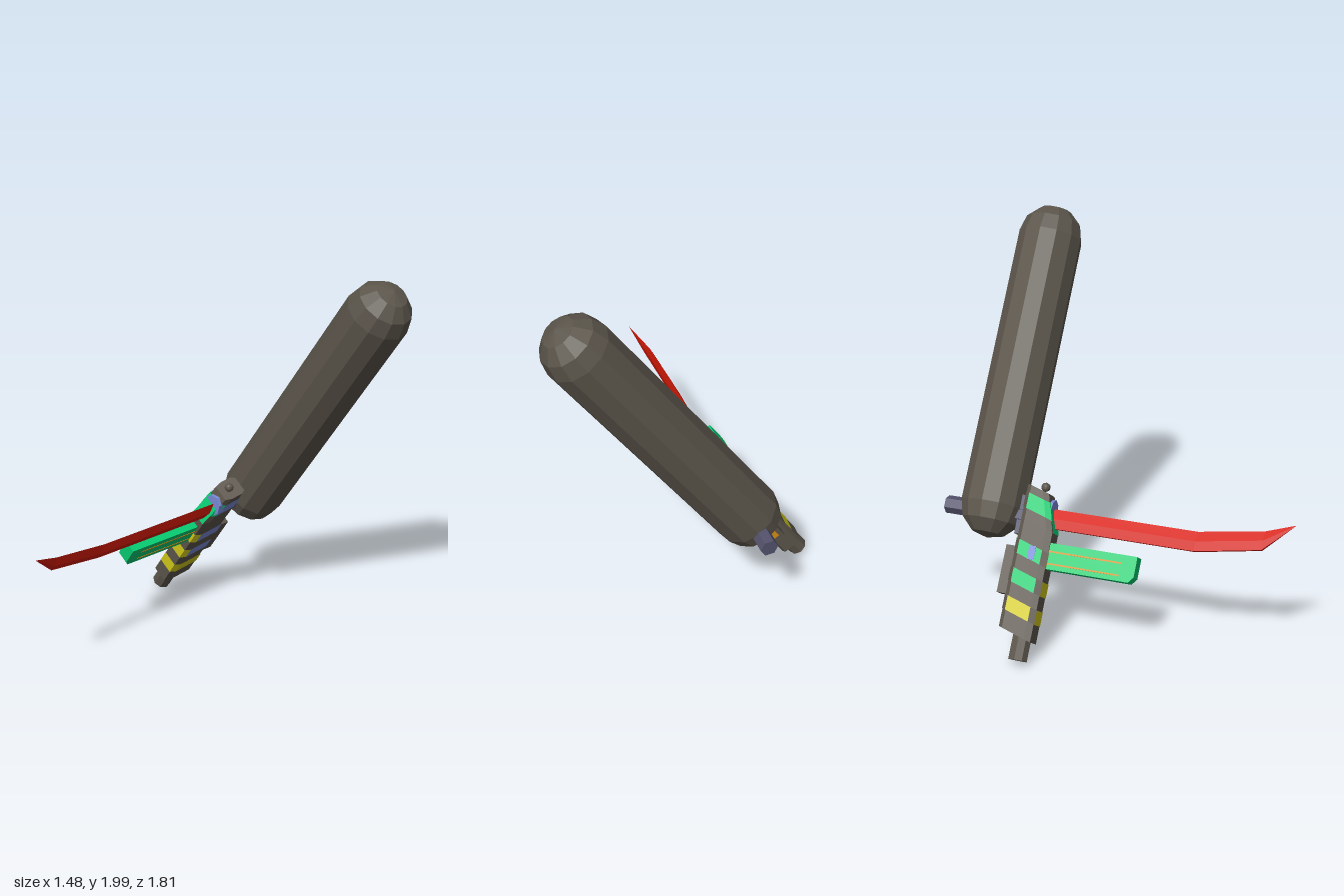
import * as THREE from 'three';

const makeMaterial = (name, color) => {
  const m = new THREE.MeshStandardMaterial({ color });
  m.name = name;
  return m;
};

// Flat-faced skin through closed rings of points, listed counter-clockwise along the travel direction
function loft(rings, capped = true) {
  const pos = [];
  const tri = (...pts) => pts.forEach((p) => pos.push(p[0], p[1], p[2]));
  const n = rings[0].length;
  for (let r = 0; r + 1 < rings.length; r++) {
    const a = rings[r], b = rings[r + 1];
    for (let i = 0; i < n; i++) {
      const j = (i + 1) % n;
      tri(a[i], a[j], b[j]);
      tri(a[i], b[j], b[i]);
    }
  }
  if (capped) {
    const s = rings[0], e = rings[rings.length - 1];
    for (let i = 1; i + 1 < n; i++) {
      tri(s[0], s[i + 1], s[i]);
      tri(e[0], e[i], e[i + 1]);
    }
  }
  const g = new THREE.BufferGeometry();
  g.setAttribute('position', new THREE.Float32BufferAttribute(pos, 3));
  g.computeVertexNormals();
  return g;
}

const faceted = (g) => {
  const f = g.index ? g.toNonIndexed() : g;
  f.computeVertexNormals();
  return f;
};

// Slanted eight-sided slice of the handle at height l, grown outward by g;
// the front leans back towards the head
function handleRing(l, g = 0) {
  const zf = -0.295 - Math.max(0, l + 0.1) * 0.34 + g;
  const w = 0.057 + g, c = 0.045, zb = -0.474 - g;
  const outline = [
    [-c, zf], [c, zf], [w, zf - 0.032], [w, zb + 0.022],
    [c, zb], [-c, zb], [-w, zb + 0.022], [-w, zf - 0.032],
  ];
  return outline.map(([x, z]) => [x, l + 0.3 * (-0.295 - z), z]);
}

export function createModel() {
  const dark = makeMaterial('dark grey', 0x5b554b);
  const green = makeMaterial('green', 0x06cc72);
  const red = makeMaterial('red', 0xd41a06);
  const yellow = makeMaterial('yellow', 0xd0c81a);
  const blue = makeMaterial('blue', 0x7b8bd6);
  const indigo = makeMaterial('dark indigo', 0x53526c);
  const gold = makeMaterial('gold', 0xd89018);

  // Everything leans together; local y runs along the tank and handle
  const model = new THREE.Group();
  model.name = 'model';
  const tilted = new THREE.Group();
  tilted.name = 'tiltedAssembly';
  tilted.position.set(-0.27, 0.65, 0);
  tilted.rotation.z = -0.616;
  model.add(tilted);

  const add = (name, geometry, material, x = 0, y = 0, z = 0) => {
    const m = new THREE.Mesh(geometry, material);
    m.name = name;
    m.position.set(x, y, z);
    tilted.add(m);
    return m;
  };
  const box = (name, w, h, d, material, x, y, z) =>
    add(name, faceted(new THREE.BoxGeometry(w, h, d)), material, x, y, z);

  // Long rounded tank
  add('tank', faceted(new THREE.CapsuleGeometry(0.168, 1.45, 3, 12)), dark, 0.002, 0.7225, -0.655);

  // Axle through the foot of the tank, and the plate joining it to the handle
  const axle = faceted(new THREE.CylinderGeometry(0.046, 0.046, 0.435, 6));
  axle.rotateX(Math.PI / 2);
  add('axle', axle, indigo, 0, -0.032, -0.687);
  box('mountPlate', 0.07, 0.2, 0.03, indigo, 0, -0.03, -0.485);

  // Handle with its head, top knob and end pipe
  add('handle', loft([-0.655, -0.1, 0.075].map((l) => handleRing(l))), dark);
  add('topKnob', faceted(new THREE.IcosahedronGeometry(0.024, 1)), dark, 0, 0.13, -0.395);
  add('endPipe', faceted(new THREE.CylinderGeometry(0.05, 0.05, 0.17, 8)), dark, 0, -0.666, -0.357);

  // Slanted bands: start, end, then colours of the faces in the order
  // front, front left, left, back left, back, back right, right, front right
  const D = dark, Y = yellow, G = green, B = blue;
  const bands = [
    [-0.565, -0.493, [Y, Y, Y, Y, D, D, Y, D]],
    [-0.422, -0.35, [Y, Y, B, Y, D, D, G, D]],
    [-0.277, -0.205, [Y, Y, B, Y, D, D, G, D]],
    [-0.045, 0.035, [G, G, B, D, D, D, G, G]],
  ];
  bands.forEach(([from, to, mats], k) => {
    const g = loft([handleRing(from, 0.003), handleRing(to, 0.003)], false);
    mats.forEach((_, i) => g.addGroup(i * 6, 6, i));
    add('handleBand' + (k + 1), g, mats);
  });

  // Green facing below the blade, on the leaning front
  const [fl, fr] = handleRing(-0.1, 0.004);
  const [tl, tr] = handleRing(-0.04, 0.004);
  const facing = new THREE.BufferGeometry();
  facing.setAttribute('position', new THREE.Float32BufferAttribute(
    [fl, fr, tr, fl, tr, tl].flat(), 3));
  facing.computeVertexNormals();
  add('frontFacing', facing, green);

  // Small inset on the other side of the third band
  box('sidePatch', 0.004, 0.07, 0.036, blue, -0.06, -0.216, -0.377);

  // Rear block with an inlaid strip
  box('rearBlock', 0.075, 0.245, 0.065, dark, 0.01, -0.313, -0.498);
  box('rearStrip', 0.032, 0.19, 0.002, gold, 0.01, -0.313, -0.531);

  // Forward box with a cut lower corner, and grooves on both sides
  const side = new THREE.Shape([
    [-0.3, -0.283], [0.14, -0.283], [0.165, -0.253], [0.165, -0.15], [-0.3, -0.15],
  ].map(([z, y]) => new THREE.Vector2(-z, y)));
  const boxGeometry = new THREE.ExtrudeGeometry(side, { depth: 0.07, bevelEnabled: false });
  boxGeometry.translate(0, 0, -0.035);
  boxGeometry.rotateY(Math.PI / 2);
  add('forwardBox', faceted(boxGeometry), green, -0.005, 0, 0);
  for (const s of [-1, 1]) {
    for (const y of [-0.193, -0.255]) {
      box('boxLine', 0.003, 0.008, 0.385, gold, -0.005 + s * 0.0355, y, -0.105);
    }
  }

  // Collar at the root of the blade
  const collar = new THREE.CylinderGeometry(1, 1, 0.04, 8);
  collar.rotateX(Math.PI / 2);
  collar.scale(0.056, 0.066, 1);
  add('bladeCollar', faceted(collar), blue, 0.01, 0.008, -0.348);

  // Curved blade: z, height and size of each section
  const section = [[0, 0.052], [-0.02, 0], [-0.014, -0.048], [0.014, -0.048], [0.02, 0]];
  const stations = [[-0.34, -0.025, 1], [0.43, -0.025, 1], [0.76, 0.03, 0.95], [0.905, 0.128, 0.03]];
  add('blade', loft(stations.map(([z, l, s]) =>
    section.map(([x, y]) => [0.012 + x * s, l + y * s, z]))), red);

  return model;
}
